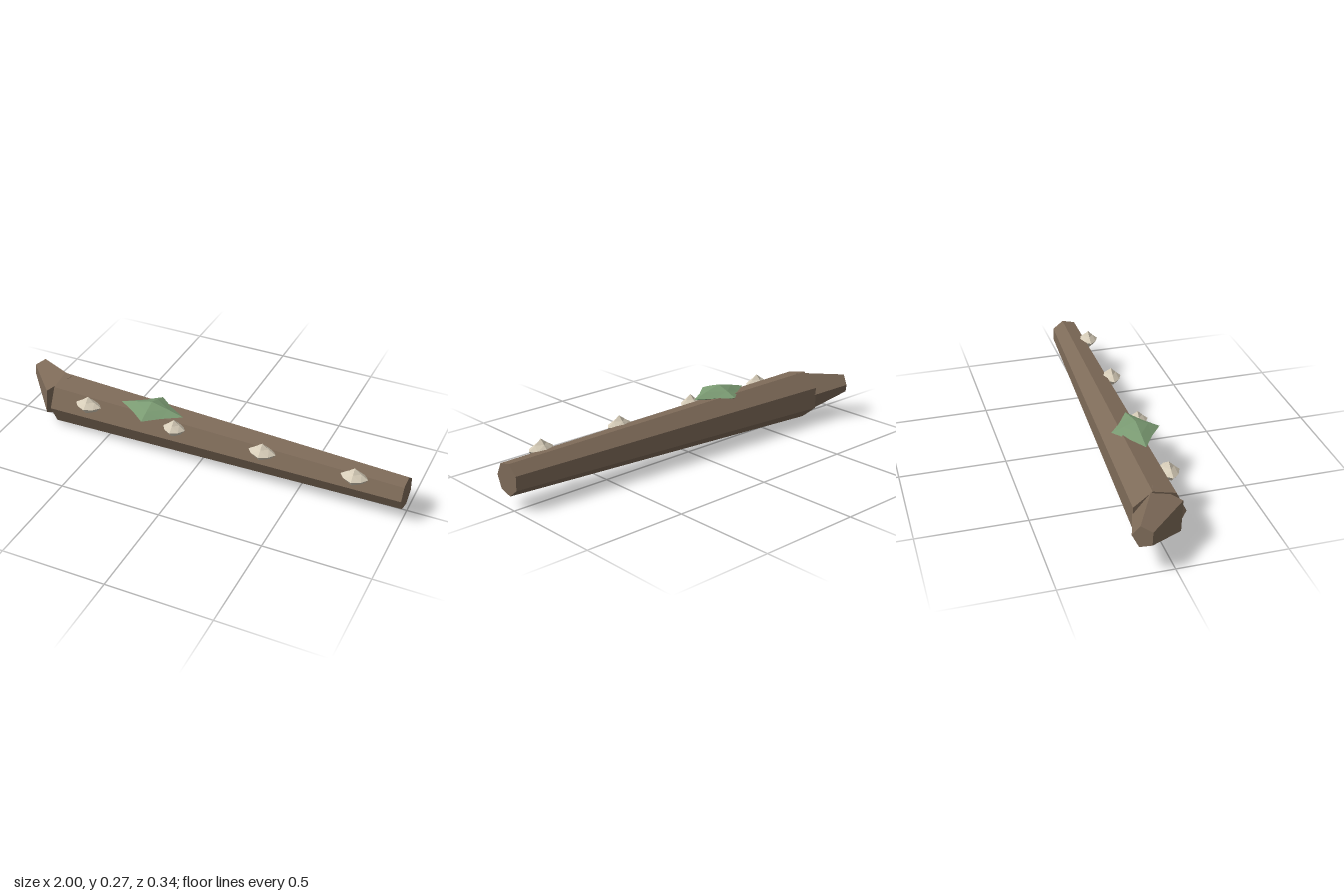
import * as THREE from 'three';

const mat = (color) => new THREE.MeshStandardMaterial({ color, flatShading: true });
const V = (x, y, z) => new THREE.Vector3(x, y, z);

// Tapered prism from a to b; its first corner points towards `corner`.
function taper(name, a, b, rA, rB, sides, corner, material) {
  const axis = b.clone().sub(a);
  const geo = new THREE.CylinderGeometry(rB, rA, axis.length(), sides);
  const y = axis.normalize();
  const x = y.clone().cross(corner).normalize();
  const z = x.clone().cross(y);
  geo.applyMatrix4(new THREE.Matrix4().makeBasis(x, y, z));
  const mesh = new THREE.Mesh(geo, material);
  mesh.position.copy(a).add(b).multiplyScalar(0.5);
  mesh.name = name;
  return mesh;
}

// Faceted eight-pointed lump: a subdivided octahedron with its mid-edge corners pulled in.
function lump(name, pos, size, top, waist, bottom, material) {
  const geo = new THREE.OctahedronGeometry(1, 1);
  const p = geo.attributes.position;
  for (let i = 0; i < p.count; i++) {
    const v = V(0, 0, 0).fromBufferAttribute(p, i);
    const isTip = Math.max(Math.abs(v.x), Math.abs(v.y), Math.abs(v.z)) > 0.9;
    if (isTip) continue;
    const f = v.y > 0.1 ? top : v.y < -0.1 ? bottom : waist;
    v.multiplyScalar(f / Math.SQRT1_2);
    p.setXYZ(i, v.x, v.y, v.z);
  }
  geo.scale(size.x, size.y, size.z);
  geo.computeVertexNormals();
  const mesh = new THREE.Mesh(geo, material);
  mesh.position.copy(pos);
  mesh.name = name;
  return mesh;
}

export function createModel() {
  const group = new THREE.Group();
  group.name = 'fallenLog';
  const bark = mat(0x7d6a58);
  const cream = mat(0xd6ccb8);
  const moss = mat(0x7a9a72);

  // Seven-sided trunk lying along x, thick end at -x
  group.add(taper('trunk', V(-0.777, 0.1235, -0.004), V(0.998, 0.135, 0.043),
    0.1235, 0.0755, 7, V(0, 0, 1), bark));

  // Five-sided broken root stub at the thick end
  group.add(taper('rootStub', V(-0.768, 0.131, 0.005), V(-0.974, 0.169, -0.132),
    0.12, 0.049, 5, V(0.55, 0, -0.83), bark));

  // Row of bracket mushrooms along the front
  [[-0.57, 0.068], [-0.112, 0.056], [0.333, 0.067], [0.773, 0.065]].forEach(([x, w], i) => {
    group.add(lump(`mushroom${i + 1}`, V(x, 0.196, 0.108), V(w, 0.046, 0.05),
      0.48, 0.62, 0.6, cream));
  });

  // Flat moss patch on top
  group.add(lump('mossPatch', V(-0.252, 0.23, 0.056), V(0.162, 0.042, 0.114),
    0.52, 0.47, 0.5, moss));

  return group;
}
